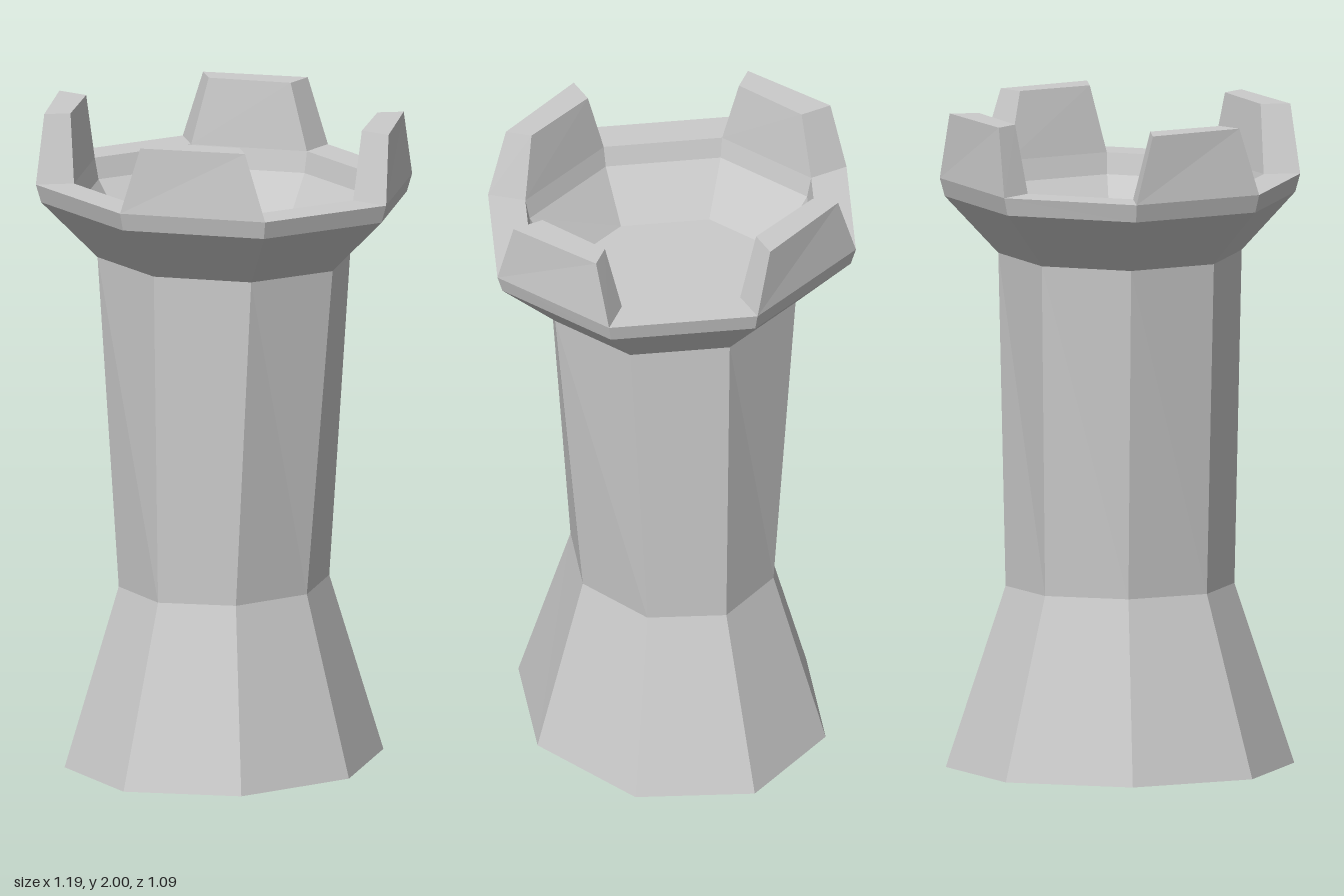
import * as THREE from 'three';

const RX = 0.597, RZ = 0.545; // half widths of the rim
const RIM_Y = 1.795, TOP_Y = 2;

const material = new THREE.MeshStandardMaterial({ color: 0xcccccc, flatShading: true });

function addMesh(parent, name, geometry) {
  const flat = geometry.toNonIndexed();
  flat.computeVertexNormals();
  const mesh = new THREE.Mesh(flat, material);
  mesh.name = name;
  parent.add(mesh);
}

// Eight-sided lathe whose rings are ellipses: each ring is [rx, rz, y]
function octagonLathe(rings) {
  const points = rings.map(([rx, , y]) => new THREE.Vector2(rx, y));
  const geometry = new THREE.LatheGeometry(points, 8);
  const pos = geometry.attributes.position;
  for (let i = 0; i < pos.count; i++) {
    const [rx, rz] = rings[i % rings.length];
    if (rx > 0) pos.setZ(i, pos.getZ(i) * rz / rx);
  }
  return geometry;
}

// Tapered block on one rim side; corners are [x, z] relative to the rim size
function merlonGeometry(turn) {
  const d = Math.SQRT1_2, inner = 0.797;
  const bottom = { inner: [[0, inner], [inner * d, inner * d]], outer: [[0, 1], [d, d]] };
  const top = { inner: [[0.095, 0.789], [0.497, 0.628]], outer: [[0.095, 0.954], [0.595, 0.727]] };
  const geometry = new THREE.BoxGeometry(1, 1, 1);
  const pos = geometry.attributes.position;
  const c = Math.cos(turn), s = Math.sin(turn);
  for (let i = 0; i < pos.count; i++) {
    const level = pos.getY(i) > 0 ? top : bottom;
    const side = pos.getZ(i) > 0 ? level.outer : level.inner;
    const [x, z] = side[pos.getX(i) > 0 ? 1 : 0];
    const y = pos.getY(i) > 0 ? TOP_Y : RIM_Y;
    pos.setXYZ(i, RX * (x * c + z * s), y, RZ * (z * c - x * s));
  }
  return geometry;
}

export function createModel() {
  const tower = new THREE.Group();
  tower.name = 'tower';

  // Flared foot and widening shaft
  addMesh(tower, 'shaft', octagonLathe([
    [0, 0, 0], [0.46, 0.527, 0], [0.305, 0.346, 0.55], [0.4, 0.368, 1.565],
  ]));

  // Overhanging parapet, hollow down to the roof floor
  addMesh(tower, 'parapet', octagonLathe([
    [0.4, 0.368, 1.565], [0.58, 0.53, 1.74], [RX, RZ, RIM_Y],
    [0.476, 0.435, RIM_Y], [0.462, 0.422, 1.73], [0.355, 0.325, 1.57], [0, 0, 1.57],
  ]));

  // Merlons on every other side
  const merlons = new THREE.Group();
  merlons.name = 'merlons';
  for (let i = 0; i < 4; i++) addMesh(merlons, `merlon${i + 1}`, merlonGeometry(i * Math.PI / 2));
  tower.add(merlons);

  return tower;
}
